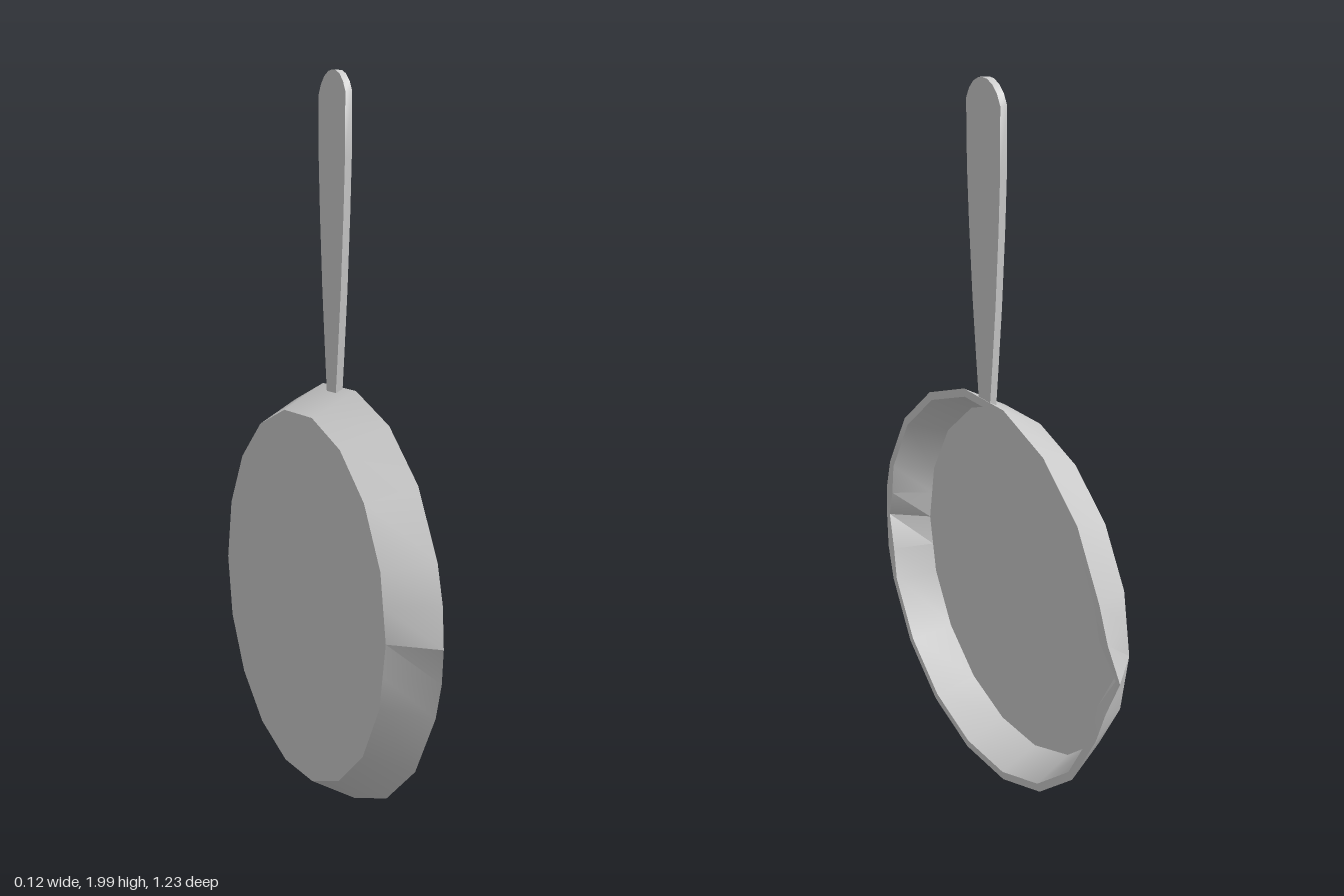
import * as THREE from 'three';
import { toCreasedNormals } from 'three/addons/utils/BufferGeometryUtils.js';

const CY = 0.58; // height of the pan's centre
const material = () => new THREE.MeshStandardMaterial({ color: 0xcccccc });

// 18-sided ring, with extra points beside the two pouring lips
const ANGLES = [];
for (let a = 0; a < 360; a += 20) {
  if (a === 180 || a === 0) ANGLES.push((a + 350) % 360, a, a + 10);
  else ANGLES.push(a);
}

// One ring around the x axis; the lip pushes outwards and dips the rim
function ring({ r, x, lip = 0, dip = 0, pinch = 0 }) {
  const corner = (deg) => {
    const a = THREE.MathUtils.degToRad(deg);
    const isLip = deg % 180 === 0;
    return new THREE.Vector3(
      x - (isLip ? dip : 0),
      CY + r * Math.sin(a),
      (r + (isLip ? lip : 0)) * Math.cos(a)
    );
  };
  return ANGLES.map((deg) => {
    if (deg % 20 === 0) return corner(deg);
    const p = corner(deg - 10).lerp(corner(deg + 10), 0.5);
    p.x += dip * 0.3;
    p.z -= Math.sign(p.z) * pinch;
    return p;
  });
}

// Skin a list of rings; the first and last are collapsed to close the body
function loft(profile) {
  const rings = profile.map(ring);
  const n = ANGLES.length;
  const pos = [];
  const tri = (...pts) => pts.forEach((p) => pos.push(p.x, p.y, p.z));
  for (let k = 0; k < rings.length - 1; k++) {
    for (let i = 0; i < n; i++) {
      const j = (i + 1) % n;
      const [a, b, c, d] = [rings[k][i], rings[k][j], rings[k + 1][i], rings[k + 1][j]];
      if (profile[k + 1].r > 0) tri(b, c, d);
      if (profile[k].r > 0) tri(a, c, b);
    }
  }
  const g = new THREE.BufferGeometry();
  g.setAttribute('position', new THREE.Float32BufferAttribute(pos, 3));
  return toCreasedNormals(g, THREE.MathUtils.degToRad(24));
}

// Flat paddle handle, drawn in the (z, y) plane
function handleGeometry() {
  const half = [
    [0.027, 1.13], [0.04, 1.25], [0.057, 1.42], [0.072, 1.62], [0.08, 1.77],
    [0.081, 1.94], [0.066, 1.967], [0.045, 1.987], [0.02, 1.998],
  ];
  const mirrored = half.map(([w, y]) => [-w, y]).reverse();
  const outline = [...half, [0, 2], ...mirrored].map(([w, y]) => new THREE.Vector2(w, y));
  const g = new THREE.ExtrudeGeometry(new THREE.Shape(outline), { depth: 0.02, bevelEnabled: false });
  g.rotateY(Math.PI / 2);
  g.translate(0.036, 0, 0);
  return toCreasedNormals(g, THREE.MathUtils.degToRad(30));
}

export function createModel() {
  const group = new THREE.Group();
  group.name = 'fryingPan';

  // Pan body: base, outer wall, rim with lips, inner wall, floor
  const pan = new THREE.Mesh(loft([
    { r: 0, x: -0.065 },
    { r: 0.515, x: -0.065 },
    { r: 0.583, x: 0.06, lip: 0.034, dip: 0.02 },
    { r: 0.56, x: 0.06, lip: 0.038, dip: 0.02, pinch: 0.016 },
    { r: 0.514, x: -0.058 },
    { r: 0, x: -0.058 },
  ]), material());
  pan.name = 'panBody';
  group.add(pan);

  const handle = new THREE.Mesh(handleGeometry(), material());
  handle.name = 'handle';
  group.add(handle);

  return group;
}
